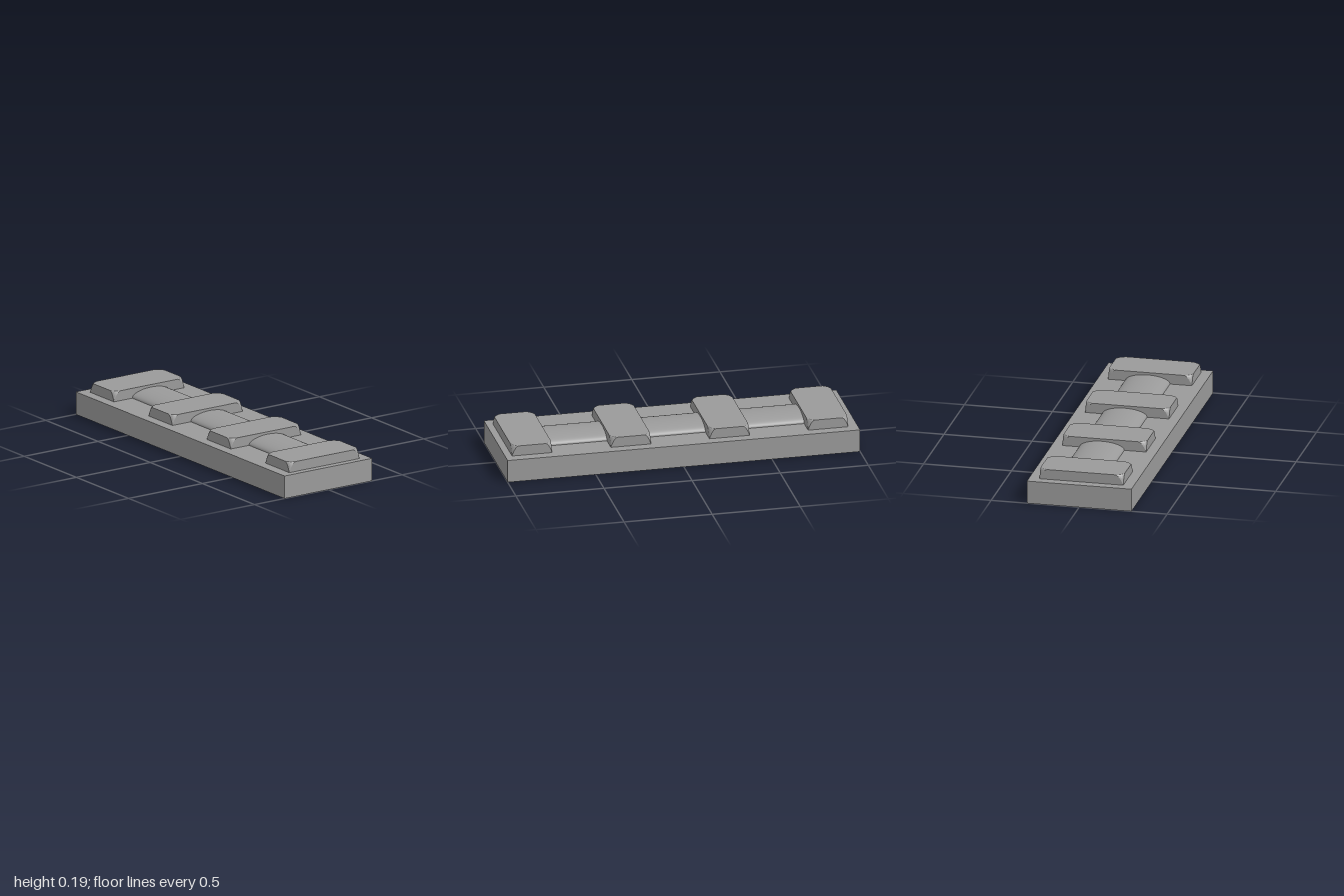
import * as THREE from 'three';
import { mergeGeometries, toCreasedNormals } from 'three/addons/utils/BufferGeometryUtils.js';

const BASE_TOP = 0.13;

// Block with sharp lower corners that are cut back in a curve towards the top
function clampGeometry(width, height, depth) {
  const layers = 10, steps = 6, cutX = 0.039, cutZ = 0.048;
  const corners = [[1, -1], [-1, -1], [-1, 1], [1, 1]];
  const ring = corners.length * (steps + 1);
  const positions = [], sides = [], caps = [];
  for (let l = 0; l <= layers; l++) {
    const s = Math.max(l / layers, 0.01);
    const y = l === 0 ? 0 : height * (1 - (1 - s) ** 2);
    corners.forEach(([sx, sz], c) => {
      for (let k = 0; k <= steps; k++) {
        const u = c % 2 ? 1 - k / steps : k / steps;
        const bulge = s * (1 - 0.8 * u * (1 - u));
        positions.push(sx * (width / 2 - cutX * u * bulge), y, sz * (depth / 2 - cutZ * (1 - u) * bulge));
      }
    });
  }
  const bottom = positions.length / 3, top = bottom + 1;
  positions.push(0, 0, 0, 0, height, 0);
  for (let j = 0; j < ring; j++) {
    const n = (j + 1) % ring;
    for (let l = 0; l < layers; l++) {
      const a = l * ring, b = a + ring;
      sides.push(a + j, a + n, b + n, a + j, b + n, b + j);
    }
    caps.push(top, layers * ring + j, layers * ring + n, bottom, n, j);
  }
  // Sides and flat caps are shaded apart so the top stays perfectly flat
  const shaded = (indices) => {
    const geometry = new THREE.BufferGeometry();
    geometry.setAttribute('position', new THREE.Float32BufferAttribute(positions, 3));
    geometry.setIndex(indices);
    return toCreasedNormals(geometry, 0.3);
  };
  return mergeGeometries([shaded(sides), shaded(caps)]);
}

export function createModel() {
  const group = new THREE.Group();
  const material = new THREE.MeshStandardMaterial({ color: 0x9a9a9a });
  const add = (name, geometry, x, y, z) => {
    const mesh = new THREE.Mesh(geometry, material);
    mesh.name = name;
    mesh.position.set(x, y, z);
    group.add(mesh);
  };

  // Base slab
  add('base', new THREE.BoxGeometry(2, BASE_TOP, 0.594), 0, BASE_TOP / 2, 0);

  // Flattened rod, half sunk in the base and passing under the blocks
  const rod = new THREE.CylinderGeometry(1, 1, 1.68, 64);
  rod.rotateZ(Math.PI / 2);
  rod.scale(1, 0.043, 0.127);
  add('rod', rod, 0.01, BASE_TOP, -0.013);

  // Four blocks across the rod
  const clamp = clampGeometry(0.228, 0.057, 0.476);
  [-0.832, -0.272, 0.287, 0.848].forEach((x, i) => add(`clamp${i + 1}`, clamp, x, BASE_TOP, 0));

  return group;
}
